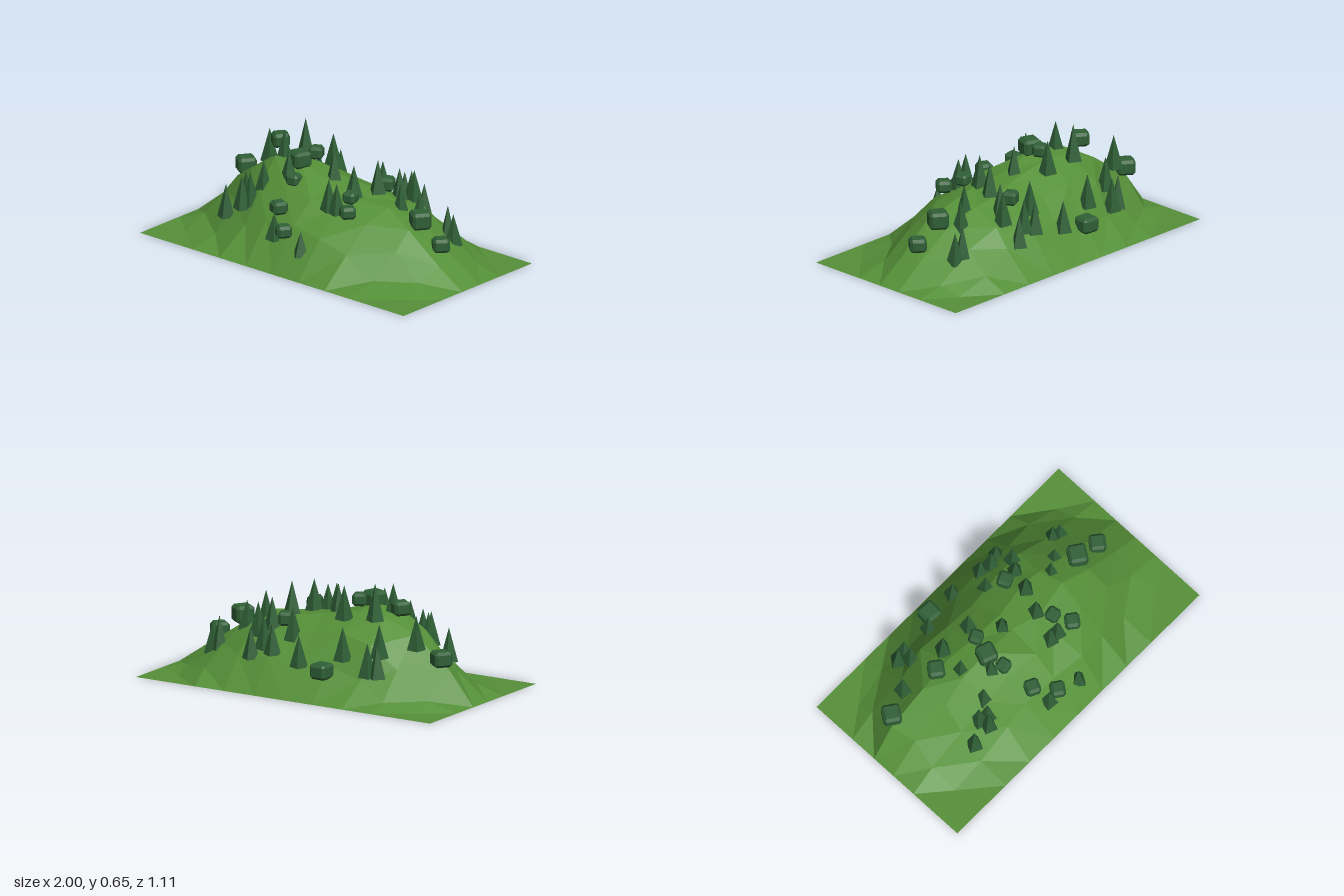
import * as THREE from 'three';
import { ConvexGeometry } from 'three/addons/geometries/ConvexGeometry.js';

const mat = (color, side = THREE.FrontSide) =>
  new THREE.MeshStandardMaterial({ color, flatShading: true, side });

// small seeded generator
function seeded(seed) {
  return () => {
    seed = (seed * 16807) % 2147483647;
    return seed / 2147483647;
  };
}

// hill heights: rows run back to front, columns left to right in x (-0.8 .. 0.8)
const ROWS_Z = [-0.555, -0.41, -0.27, -0.1, 0.05, 0.21, 0.36, 0.555];
const HEIGHTS = [
  [0.00, 0.04, 0.14, 0.19, 0.20, 0.20, 0.18, 0.08, 0.00],
  [0.05, 0.20, 0.32, 0.36, 0.34, 0.31, 0.28, 0.19, 0.04],
  [0.20, 0.37, 0.45, 0.46, 0.41, 0.38, 0.35, 0.27, 0.11],
  [0.16, 0.36, 0.47, 0.48, 0.41, 0.38, 0.36, 0.28, 0.11],
  [0.06, 0.21, 0.32, 0.37, 0.36, 0.34, 0.30, 0.19, 0.05],
  [0.00, 0.04, 0.15, 0.22, 0.24, 0.22, 0.16, 0.05, 0.00],
];

function hillGeometry() {
  const rand = seeded(17);
  const geo = new THREE.PlaneGeometry(2, 1.11, 10, 7).rotateX(-Math.PI / 2);
  const p = geo.attributes.position;
  for (let i = 0; i < p.count; i++) {
    const col = i % 11, row = Math.floor(i / 11);
    const inner = col > 0 && col < 10 && row > 0 && row < 7;
    const j = inner ? 0.05 : 0;
    // the outermost inner columns sit a little further out
    const out = inner && (col === 1 || col === 9) ? 0.025 * Math.sign(col - 5) : 0;
    p.setXYZ(i,
      -1 + col * 0.2 + out + (rand() - 0.5) * j,
      inner ? HEIGHTS[row - 1][col - 1] : 0,
      ROWS_Z[row] + (rand() - 0.5) * j);
  }
  // mirror the quad diagonals on the +x half so the creases run down both flanks
  const index = geo.index;
  for (let q = 0; q < 70; q++) {
    const col = q % 10, row = Math.floor(q / 10);
    const a = row * 11 + col, b = a + 11, c = b + 1, d = a + 1;
    const forward = (col < 5) === (row < 3);
    const corners = forward ? [a, b, d, b, c, d] : [a, b, c, a, c, d];
    corners.forEach((v, k) => index.setX(q * 6 + k, v));
  }
  geo.computeVertexNormals();
  return geo;
}

// box with one flat chamfer on every edge
function chamferedBox(w, h, d, c) {
  const points = [];
  for (const x of [-1, 1]) for (const y of [-1, 1]) for (const z of [-1, 1]) {
    for (const keep of [0, 1, 2]) {
      const inset = [0, 1, 2].map((k) => (k === keep ? 0 : c));
      points.push(new THREE.Vector3(
        x * (w / 2 - inset[0]), y * (h / 2 - inset[1]), z * (d / 2 - inset[2])));
    }
  }
  return new ConvexGeometry(points);
}

// trees: x, z, tip height, tree height
const TREES = [
  [-0.52, -0.37, 0.36, 0.20], [-0.46, -0.38, 0.36, 0.20], [-0.49, -0.30, 0.46, 0.2],
  [-0.28, -0.36, 0.43, 0.2], [-0.02, -0.42, 0.36, 0.19], [-0.67, -0.19, 0.51, 0.2],
  [-0.37, -0.16, 0.655, 0.22], [-0.16, -0.16, 0.615, 0.2], [-0.39, 0, 0.625, 0.2],
  [-0.03, -0.02, 0.58, 0.19], [0.11, -0.28, 0.48, 0.2], [0.18, -0.39, 0.40, 0.19],
  [0.25, -0.37, 0.43, 0.2], [0.32, -0.40, 0.36, 0.19], [0.34, -0.29, 0.48, 0.2],
  [0.29, -0.22, 0.50, 0.19], [0.24, -0.09, 0.575, 0.2], [0.43, -0.07, 0.49, 0.21],
  [0.52, -0.13, 0.43, 0.18], [0.63, -0.25, 0.35, 0.21], [0.68, -0.24, 0.31, 0.19],
  [0.18, 0.05, 0.565, 0.19], [0.13, 0.21, 0.515, 0.19], [0.19, 0.21, 0.50, 0.18],
  [0.12, 0.44, 0.26, 0.15], [-0.10, 0.42, 0.31, 0.16], [-0.58, 0.29, 0.33, 0.2],
  [-0.46, 0.29, 0.41, 0.2], [-0.48, 0.23, 0.42, 0.2], [-0.43, 0.25, 0.43, 0.2],
  [-0.39, 0.18, 0.49, 0.19], [-0.26, 0.11, 0.56, 0.17],
];

// bushes: x, z, centre height, width, height, turn in degrees
const BUSHES = [
  [-0.19, -0.44, 0.175, 0.11, 0.09, -5], [-0.81, -0.145, 0.27, 0.108, 0.09, -35],
  [-0.50, -0.09, 0.515, 0.097, 0.082, -38], [-0.20, -0.06, 0.52, 0.08, 0.075, 25],
  [-0.23, 0.05, 0.505, 0.11, 0.095, -20], [-0.19, 0.145, 0.415, 0.08, 0.07, 10],
  [-0.145, 0.33, 0.31, 0.088, 0.075, -25], [-0.03, 0.42, 0.22, 0.088, 0.072, -35],
  [0.20, -0.215, 0.385, 0.085, 0.08, 25], [0.23, 0.135, 0.41, 0.08, 0.07, 12],
  [0.29, 0.23, 0.36, 0.088, 0.07, -38], [0.61, -0.035, 0.32, 0.112, 0.1, -35],
  [0.77, -0.03, 0.21, 0.097, 0.08, -40],
];

export function createModel() {
  const model = new THREE.Group();
  model.name = 'woodedHill';
  const rand = seeded(91);

  // open shell of the hill with its flat rim
  const hill = new THREE.Mesh(hillGeometry(), mat(0x559038, THREE.DoubleSide));
  hill.name = 'hill';
  model.add(hill);

  const leaf = mat(0x2f5f36);

  // four-sided conifers
  const trees = new THREE.Group();
  trees.name = 'trees';
  const cone = new THREE.ConeGeometry(0.054, 1, 4).translate(0, -0.5, 0);
  for (const [x, z, tip, h] of TREES) {
    const tree = new THREE.Mesh(cone, leaf);
    tree.name = 'tree';
    tree.position.set(x, tip, z);
    tree.scale.y = h;
    tree.rotation.y = 0.1 + rand() * 0.6;
    trees.add(tree);
  }
  model.add(trees);

  // chamfered block bushes
  const bushes = new THREE.Group();
  bushes.name = 'bushes';
  for (const [x, z, y, w, h, turn] of BUSHES) {
    const bush = new THREE.Mesh(chamferedBox(w, h, w, 0.016), leaf);
    bush.name = 'bush';
    bush.position.set(x, y, z);
    bush.rotation.y = THREE.MathUtils.degToRad(turn);
    bushes.add(bush);
  }
  model.add(bushes);

  return model;
}
